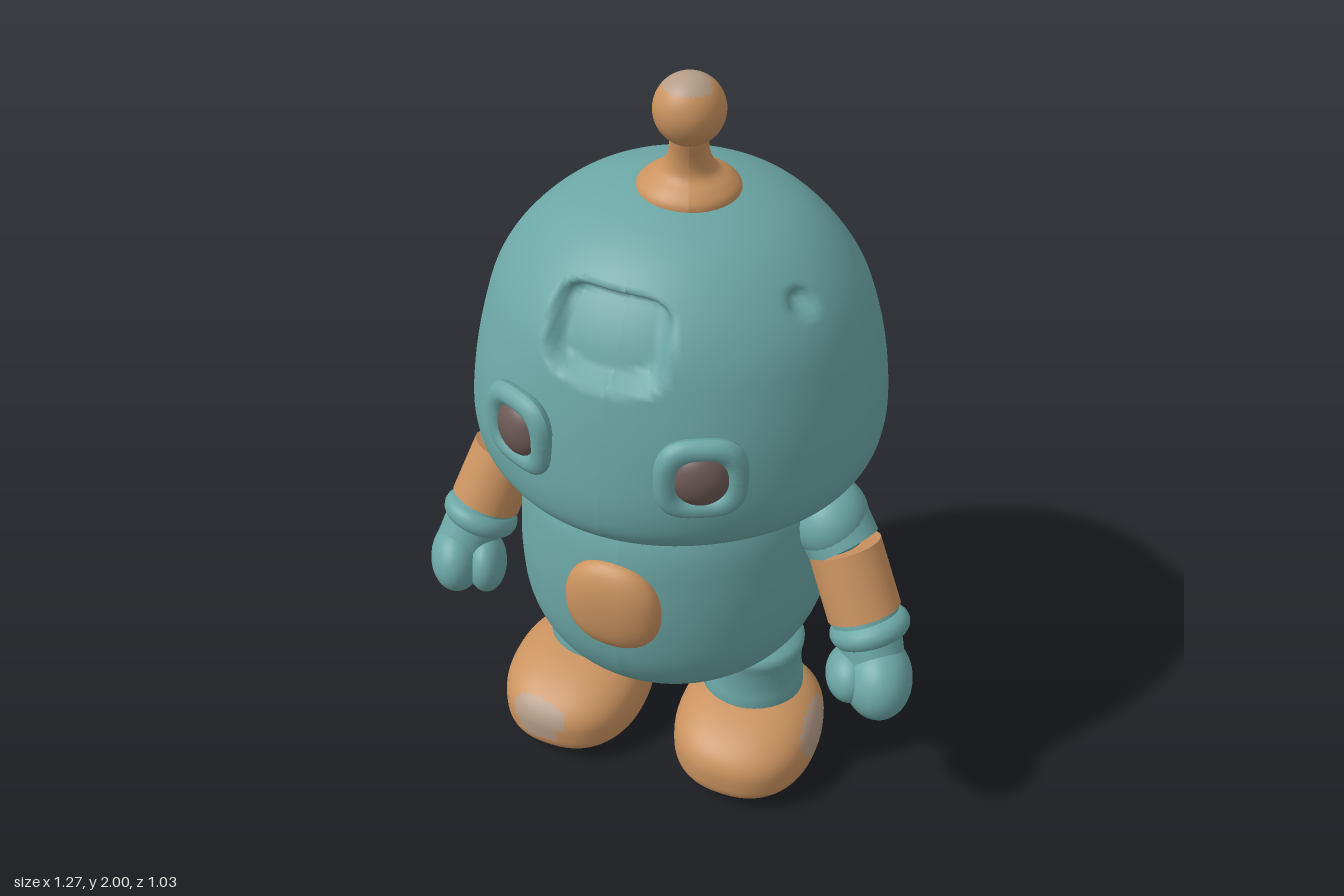
import * as THREE from 'three';

const mat = (name, color) => Object.assign(new THREE.MeshStandardMaterial({ color }), { name });
const V = (x, y, z) => new THREE.Vector3(x, y, z);
const YAW = -0.36;

export function createModel() {
  const teal = mat('teal', 0x6ba6a5);
  const copper = mat('copper', 0xca925f);
  const worn = mat('wornTan', 0xb59c88);
  const dark = mat('darkBrown', 0x6c5955);
  const model = new THREE.Group();
  model.name = 'toyRobot';

  const add = (parent, name, geo, material, x = 0, y = 0, z = 0) => {
    const m = new THREE.Mesh(geo, material);
    m.name = name;
    m.position.set(x, y, z);
    parent.add(m);
    return m;
  };
  const group = (parent, name, x = 0, y = 0, z = 0, yaw = 0) => {
    const g = new THREE.Group();
    g.name = name;
    g.position.set(x, y, z);
    g.rotation.y = yaw;
    parent.add(g);
    return g;
  };
  const blob = (parent, name, material, p, r) => {
    const m = add(parent, name, new THREE.SphereGeometry(1, 32, 20), material, ...p);
    m.scale.set(...r);
    return m;
  };
  // Smooth lathe through [radius, height] pairs listed from bottom to top
  const lathe = (pts, steps, sides) => {
    const curve = new THREE.CatmullRomCurve3(pts.map(([r, y]) => V(r, y, 0)), false, 'centripetal');
    return new THREE.LatheGeometry(
      curve.getSpacedPoints(steps).map((p) => new THREE.Vector2(Math.max(p.x, 0), p.y)), sides);
  };
  const reshape = (geo, rule) => {
    const p = geo.attributes.position, v = V(0, 0, 0);
    for (let i = 0; i < p.count; i++) {
      v.fromBufferAttribute(p, i);
      rule(v);
      p.setXYZ(i, v.x, v.y, v.z);
    }
    geo.computeVertexNormals();
    return geo;
  };
  // Splits the faces of an indexed geometry into two material groups
  const paint = (geo, test) => {
    const p = geo.attributes.position, idx = geo.index.array, lists = [[], []];
    for (let i = 0; i < idx.length; i += 3) {
      const c = V(0, 0, 0);
      for (let k = 0; k < 3; k++) c.add(V(0, 0, 0).fromBufferAttribute(p, idx[i + k]));
      lists[test(c.divideScalar(3)) ? 1 : 0].push(idx[i], idx[i + 1], idx[i + 2]);
    }
    geo.setIndex(lists.flat());
    geo.addGroup(0, lists[0].length, 0);
    geo.addGroup(lists[0].length, lists[1].length, 1);
    return geo;
  };
  const limb = (parent, name, material, a, b, ra, rb) => {
    const A = V(...a), B = V(...b), d = B.clone().sub(A);
    const m = add(parent, name, new THREE.CylinderGeometry(rb, ra, d.length(), 28), material);
    m.position.copy(A).addScaledVector(d, 0.5);
    m.quaternion.setFromUnitVectors(V(0, 1, 0), d.normalize());
    return m;
  };
  const { smoothstep } = THREE.MathUtils;
  const soft = (t, e) => Math.sign(t) * Math.abs(t) ** e;

  // Head: wide dome with a forehead recess, a side pit and a dented back
  const head = group(model, 'head', 0.043, 0, -0.014, YAW);
  const headGeo = lathe([[0, 0.975], [0.3, 0.98], [0.42, 1.005], [0.485, 1.06], [0.503, 1.13],
    [0.493, 1.27], [0.463, 1.4], [0.425, 1.5], [0.36, 1.59], [0.27, 1.665], [0.13, 1.72], [0, 1.735]], 110, 150);
  const pit = V(0.33, 1.56, 0.16), dent = V(-0.25, 1.45, -0.38);
  reshape(headGeo, (v) => {
    const window = Math.hypot(soft((v.x + 0.02) / 0.14, 2), soft((v.y - 1.525) / 0.088, 2)) ** 0.5;
    const pitDepth = 0.035 * (1 - smoothstep(v.distanceTo(pit), 0.015, 0.045));
    const fromDent = Math.hypot(v.x - dent.x, (v.y - dent.y) * 2.2, v.z - dent.z);
    const dentDepth = 0.025 * (1 - smoothstep(fromDent, 0.02, 0.13));
    const lumps = 0.004 * Math.sin(9 * v.x + 2) * Math.sin(11 * v.y) * Math.sin(8 * v.z + 1);
    const s = 1 + (lumps - pitDepth - dentDepth) / 0.45;
    v.x *= s;
    v.z *= s;
    if (v.z > 0) v.z -= 0.05 * (1 - smoothstep(window, 0.8, 1.03));
  });
  add(head, 'headShell', headGeo, teal);

  // Eyes: squarish raised rims with dark domed pupils
  for (const side of [-1, 1]) {
    const eye = group(head, side > 0 ? 'leftEye' : 'rightEye', side * 0.217, 1.26 - side * 0.008, 0.437, side * 0.45);
    const rim = new THREE.TorusGeometry(0.079, 0.026, 12, 40);
    reshape(rim, (v) => {
      const a = Math.atan2(v.y, v.x);
      const k = 1 + 0.12 * Math.sin(2 * a) ** 2;
      v.x *= k;
      v.y *= k;
    });
    add(eye, 'eyeRim', rim, teal);
    blob(eye, 'pupil', dark, [0, 0, -0.002], [0.066, 0.07, 0.042]);
  }

  // Antenna: flared base, thin neck and ball
  const antenna = group(model, 'antenna', 0.057, 0, 0.015);
  const stem = lathe([[0.118, 1.69], [0.118, 1.725], [0.1, 1.745], [0.065, 1.77],
    [0.047, 1.81], [0.043, 1.85], [0.047, 1.88]], 30, 36);
  reshape(stem, (v) => { v.z += 0.035 * smoothstep(v.y, 1.73, 1.87); });
  add(antenna, 'antennaStem', stem, copper);
  const ball = paint(new THREE.SphereGeometry(0.08, 36, 24),
    (c) => c.y > 0.053 && c.z > -0.045 && c.x < 0.045);
  add(antenna, 'antennaBall', ball, [copper, worn], 0, 1.92, 0.037);

  // Body: rounded barrel with a chest button
  const body = group(model, 'body', 0.04, 0, -0.055, YAW);
  const torso = lathe([[0, 0.35], [0.2, 0.355], [0.3, 0.385], [0.37, 0.45], [0.41, 0.54], [0.422, 0.66],
    [0.415, 0.8], [0.395, 0.91], [0.36, 0.97], [0.28, 0.99]], 60, 72);
  reshape(torso, (v) => { v.x *= 0.975; v.z *= 1.015; });
  add(body, 'torso', torso, teal);
  const button = blob(body, 'chestButton', copper, [-0.01, 0.735, 0.41], [0.126, 0.133, 0.058]);
  reshape(button.geometry, (v) => { v.x = soft(v.x, 0.88); v.y = soft(v.y, 0.88); });
  blob(body, 'bottomPlug', dark, [0, 0.351, 0], [0.042, 0.008, 0.042]);

  // Arms: shoulder, copper sleeve, cuff and mitten with a thumb
  const arms = [
    { name: 'leftArm', shoulder: [0.415, 0.865, 0.135], top: [0.455, 0.805, 0.178], end: [0.51, 0.65, 0.25],
      cuff: [0.525, 0.615, 0.27], hand: [0.548, 0.505, 0.335], handSize: [0.088, 0.105, 0.115],
      thumb: [0.475, 0.51, 0.33], thumbSize: [0.058, 0.07, 0.08] },
    { name: 'rightArm', shoulder: [-0.37, 0.865, -0.205], top: [-0.42, 0.805, -0.195], end: [-0.485, 0.66, -0.155],
      cuff: [-0.5, 0.625, -0.14], hand: [-0.565, 0.515, -0.09], handSize: [0.073, 0.095, 0.11],
      thumb: [-0.485, 0.505, -0.075], thumbSize: [0.054, 0.085, 0.085] },
  ];
  for (const a of arms) {
    const arm = group(model, a.name);
    blob(arm, 'shoulder', teal, a.shoulder, [0.1, 0.102, 0.112]);
    limb(arm, 'upperArm', teal, a.shoulder, a.top, 0.098, 0.093);
    limb(arm, 'sleeve', copper, a.top, a.end, 0.094, 0.095);
    const dir = V(...a.end).sub(V(...a.top)).normalize();
    const cuff = add(arm, 'cuff', new THREE.TorusGeometry(0.07, 0.034, 14, 36), teal, ...a.cuff);
    cuff.quaternion.setFromUnitVectors(V(0, 0, 1), dir);
    limb(arm, 'wrist', teal, a.end, a.hand, 0.088, 0.075);
    blob(arm, 'mitten', teal, a.hand, a.handSize);
    blob(arm, 'thumb', teal, a.thumb, a.thumbSize);
  }

  // Legs and boots: flat soles, sloping toes and worn patches
  const legs = [
    { name: 'leftLeg', at: [0.25, 0.075], boot: [0.243, 0.14], patch: V(0.95, 0.28, -0.05) },
    { name: 'rightLeg', at: [-0.18, -0.1], boot: [-0.235, -0.025], patch: V(-0.16, 0.27, 0.95) },
  ];
  for (const l of legs) {
    const leg = group(model, l.name);
    add(leg, 'shin', lathe([[0.135, 0.14], [0.138, 0.26], [0.132, 0.29], [0.13, 0.36], [0.134, 0.4], [0.1, 0.425]], 20, 36),
      teal, l.at[0], 0, l.at[1]);
    const geo = new THREE.SphereGeometry(1, 60, 40);
    const dir = l.patch.normalize();
    paint(geo, (c) => c.clone().normalize().dot(dir) > 0.925 || c.y < -0.86);
    reshape(geo, (v) => {
      const slope = 0.14 - 0.025 * Math.max(v.z, 0);
      v.x = soft(v.x, 0.85) * 0.197;
      v.z = soft(v.z, 0.88) * 0.236;
      v.y = v.y > 0 ? soft(v.y, 0.75) * slope : soft(v.y, 0.6) * 0.11;
    });
    const boot = add(leg, 'boot', geo, [copper, worn], l.boot[0], 0.113, l.boot[1]);
    boot.rotation.y = YAW;
  }
  return model;
}
